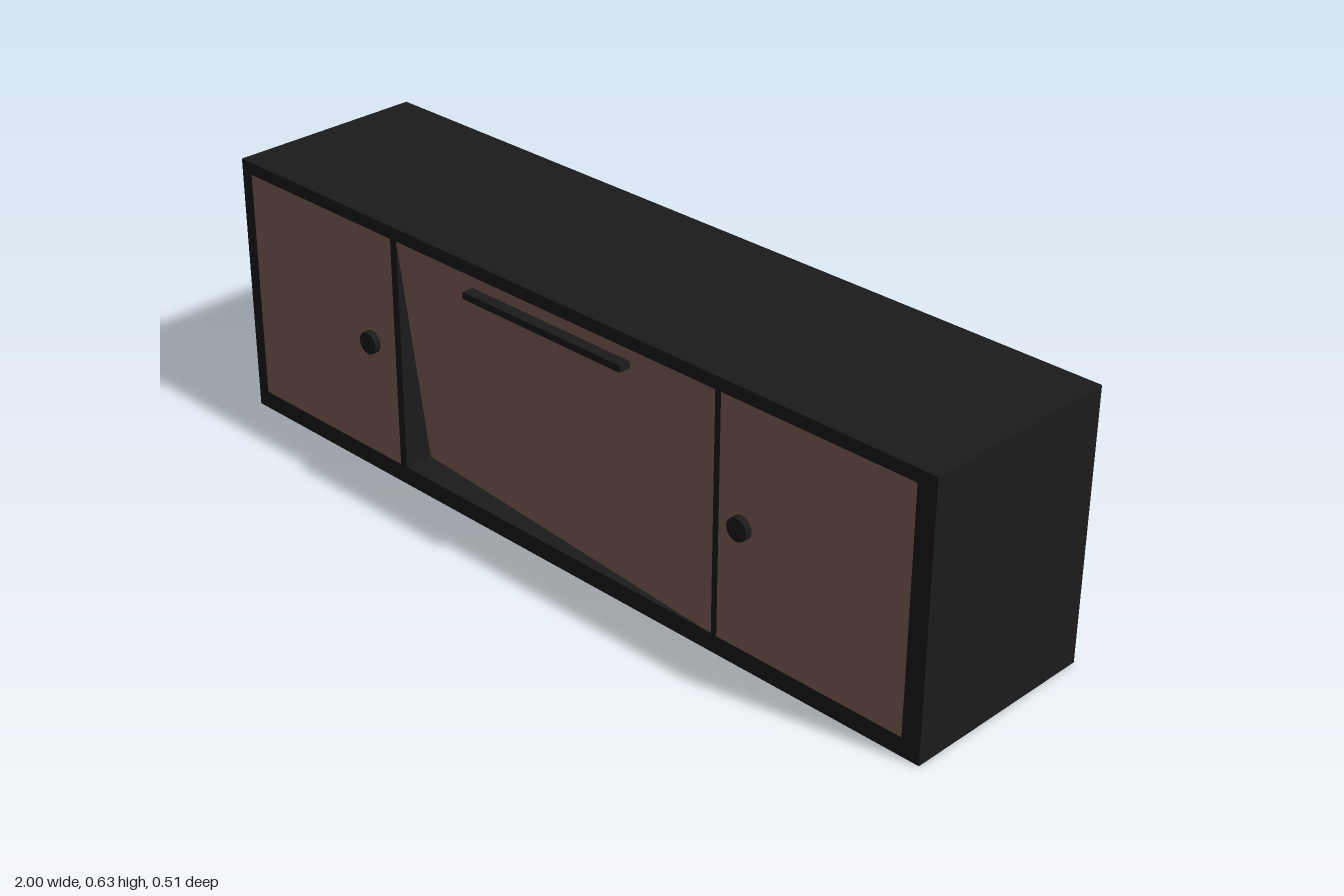
import * as THREE from 'three';

export function createModel() {
  const model = new THREE.Group();
  const dark = new THREE.MeshStandardMaterial({ color: 0x1b1b1b, flatShading: true });
  const wood = new THREE.MeshStandardMaterial({ color: 0x88655c, flatShading: true });
  const H = 0.626, BACK = -0.254, FRONT = 0.23, FRAME = 0.12;
  const bottom = 0.043, top = 0.596;

  const add = (name, geometry, material, x, y, z) => {
    const mesh = new THREE.Mesh(geometry, material);
    mesh.name = name;
    mesh.position.set(x, y, z);
    model.add(mesh);
    return mesh;
  };

  // Solid cabinet body behind the front frame
  const depth = FRONT - FRAME - BACK;
  add('cabinetBody', new THREE.BoxGeometry(2, H, depth), dark, 0, H / 2, BACK + depth / 2);

  // Front frame with one opening per door
  const bays = [
    { name: 'rightDoor', x0: -0.968, x1: -0.488 },
    { name: 'dropFront', x0: -0.468, x1: 0.463 },
    { name: 'leftDoor', x0: 0.478, x1: 0.955 },
  ];
  const rect = (C, x0, y0, x1, y1) => new C([
    new THREE.Vector2(x0, y0), new THREE.Vector2(x1, y0),
    new THREE.Vector2(x1, y1), new THREE.Vector2(x0, y1),
  ]);
  const outline = rect(THREE.Shape, -1, 0, 1, H);
  bays.forEach(b => outline.holes.push(rect(THREE.Path, b.x0, bottom, b.x1, top)));
  add('frontFrame', new THREE.ExtrudeGeometry(outline, { depth: FRAME, bevelEnabled: false }),
    dark, 0, 0, FRONT - FRAME);

  // Doors; the middle panel sinks inward at its lower corner on the -x side
  for (const b of bays) {
    const g = new THREE.BoxGeometry(b.x1 - b.x0, top - bottom, 0.03);
    if (b.name === 'dropFront') {
      const p = g.attributes.position;
      for (let i = 0; i < p.count; i++) {
        if (p.getX(i) < 0 && p.getY(i) < 0) p.setZ(i, p.getZ(i) - 0.07);
      }
      g.computeVertexNormals();
    }
    add(b.name, g, wood, (b.x0 + b.x1) / 2, (top + bottom) / 2, FRONT - 0.015);
  }

  // Round knobs on the side doors
  for (const [name, x] of [['rightKnob', -0.564], ['leftKnob', 0.539]]) {
    add(name, new THREE.CylinderGeometry(0.026, 0.026, 0.026, 24), dark, x, 0.324, 0.233)
      .rotation.x = Math.PI / 2;
  }

  // Long bar handle on the middle panel
  add('barHandle', new THREE.BoxGeometry(0.46, 0.016, 0.034), dark, 0, 0.56, 0.237);

  return model;
}
